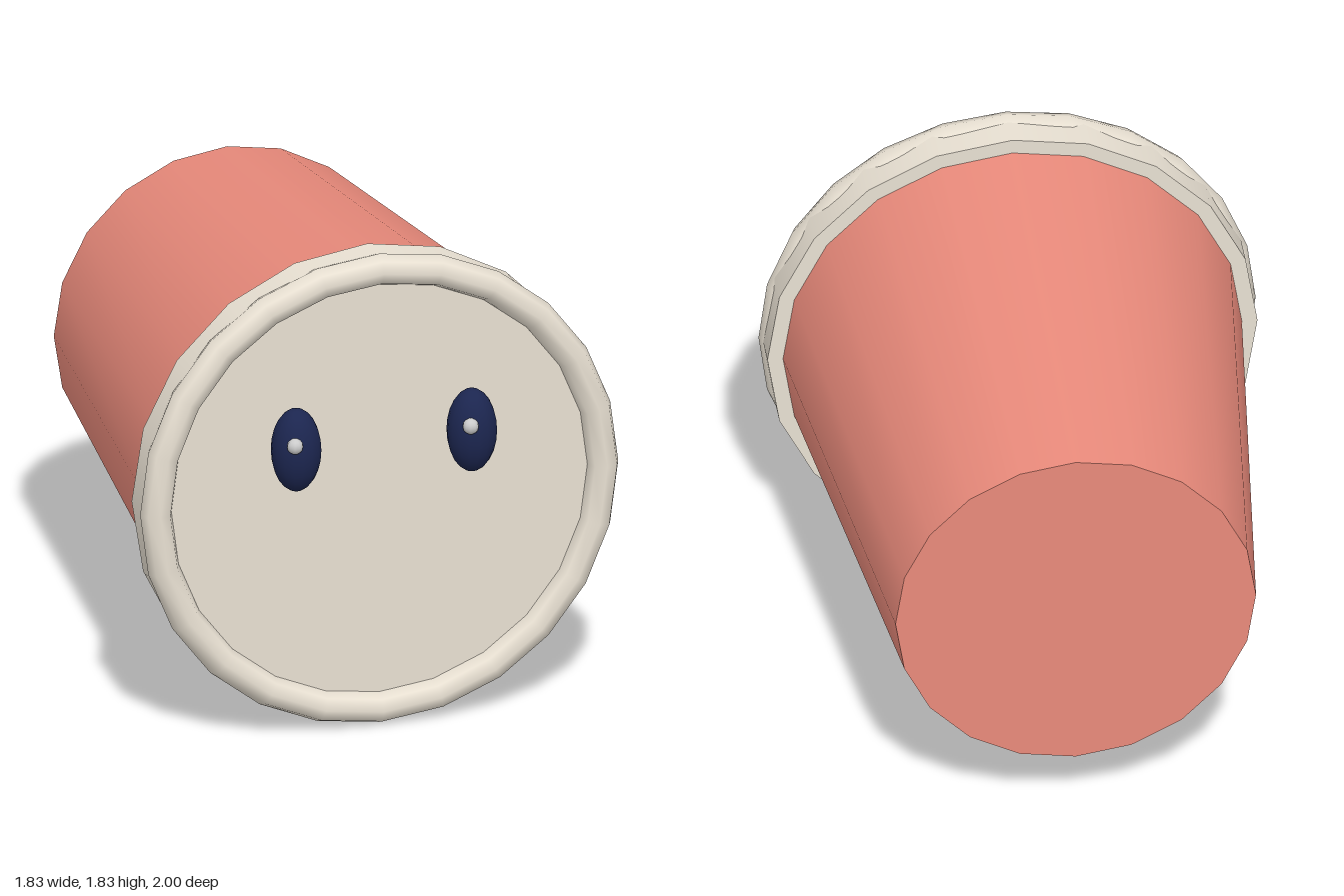
import * as THREE from 'three';

const AXIS_Y = 0.925; // height of the cup's axis

function part(name, geometry, color, x, y, z, parent) {
  const mesh = new THREE.Mesh(geometry, new THREE.MeshStandardMaterial({ color }));
  mesh.name = name;
  mesh.position.set(x, y, z);
  parent.add(mesh);
  return mesh;
}

// Closed tapered cylinder lying along z
function drum(frontRadius, backRadius, length) {
  return new THREE.CylinderGeometry(frontRadius, backRadius, length, 20).rotateX(Math.PI / 2);
}

export function createModel() {
  const model = new THREE.Group();
  model.name = 'cupCharacter';

  const coral = 0xe98a7b, cream = 0xe8e0d2, navy = 0x1c2650, white = 0xffffff;

  // Tapered cup body, z from -1 to 0.69
  part('cupBody', drum(0.847, 0.665, 1.69), coral, 0, AXIS_Y, -0.155, model);

  // Lid disc and its rolled rim
  part('lid', drum(0.904, 0.904, 0.145), cream, 0, AXIS_Y, 0.7575, model);
  part('lidRim', new THREE.TorusGeometry(0.857, 0.06, 8, 24), cream, 0, AXIS_Y, 0.828, model);

  // Oval eyes, each with a small highlight on the same side
  for (const side of [-1, 1]) {
    const eye = new THREE.Group();
    eye.name = side > 0 ? 'leftEye' : 'rightEye';
    eye.position.set(side * 0.337, 1.135, 0.885);
    model.add(eye);
    part('eyeball', new THREE.SphereGeometry(1, 16, 12).scale(0.093, 0.16, 0.092), navy, 0, 0, 0, eye);
    part('eyeHighlight', new THREE.SphereGeometry(0.03, 10, 8), white, -0.031, 0.047, 0.085, eye);
  }

  return model;
}
